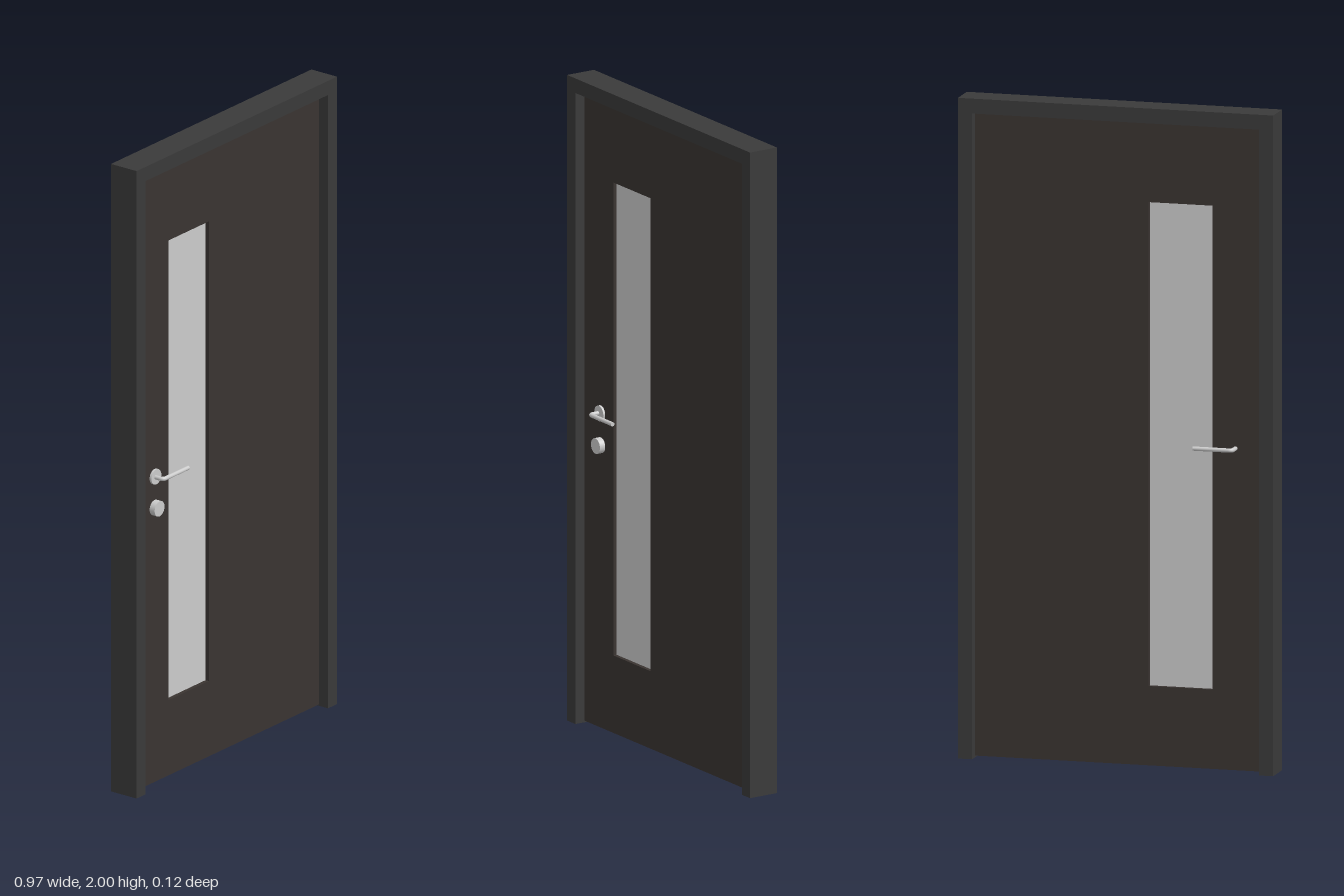
import * as THREE from 'three';

const MID = -0.004; // middle plane of the door in z

function mat(color) {
  return new THREE.MeshStandardMaterial({ color });
}

function polygon(points) {
  return points.map(([x, y]) => new THREE.Vector2(x, y));
}

// Flat outline extruded to a depth centred on the middle plane
function slab(name, shape, depth, material) {
  const geometry = new THREE.ExtrudeGeometry(shape, { depth, bevelEnabled: false });
  geometry.translate(0, 0, MID - depth / 2);
  const mesh = new THREE.Mesh(geometry, material);
  mesh.name = name;
  return mesh;
}

// Round plate or barrel facing the front
function disc(name, y, zBack, zFront, material) {
  const geometry = new THREE.CylinderGeometry(0.024, 0.024, zFront - zBack, 32);
  geometry.rotateX(Math.PI / 2);
  const mesh = new THREE.Mesh(geometry, material);
  mesh.name = name;
  mesh.position.set(-0.357, y, (zBack + zFront) / 2);
  return mesh;
}

// Lever with a stem, a rounded elbow and a straight grip; side is +1 front, -1 back
function lever(name, side, material) {
  const r = 0.0065, x = -0.361, y = 0.979, bend = 0.012;
  const zGrip = MID + side * 0.051;
  const p = (px, pz) => new THREE.Vector3(px, y, pz);
  const path = new THREE.CurvePath();
  path.add(new THREE.LineCurve3(p(x, MID + side * 0.01), p(x, zGrip - side * bend)));
  path.add(new THREE.QuadraticBezierCurve3(p(x, zGrip - side * bend), p(x, zGrip), p(x + bend, zGrip)));
  path.add(new THREE.LineCurve3(p(x + bend, zGrip), p(-0.24, zGrip)));
  const group = new THREE.Group();
  group.name = name;
  const bar = new THREE.Mesh(new THREE.TubeGeometry(path, 60, r, 16), material);
  bar.name = name + 'Bar';
  const cap = new THREE.Mesh(new THREE.CircleGeometry(r, 16), material);
  cap.name = name + 'EndCap';
  cap.rotation.y = Math.PI / 2;
  cap.position.set(-0.24, y, zGrip);
  group.add(bar, cap);
  return group;
}

export function createModel() {
  const model = new THREE.Group();
  model.name = 'door';
  const frameMat = mat(0x3a3a3a);
  const leafMat = mat(0x3a3431);
  const grey = mat(0xcccccc);

  // Frame: two jambs and a header, open at the floor
  const outer = 0.487, inner = 0.443, head = 1.955;
  const frame = new THREE.Shape(polygon([
    [-outer, 0], [-inner, 0], [-inner, head], [inner, head],
    [inner, 0], [outer, 0], [outer, 2], [-outer, 2],
  ]));
  model.add(slab('frame', frame, 0.096, frameMat));

  // Leaf with a tall window opening
  const [x0, x1, y0, y1] = [-0.29, -0.093, 0.245, 1.71];
  const leaf = new THREE.Shape(polygon([
    [-inner, 0.005], [inner, 0.005], [inner, head], [-inner, head],
  ]));
  leaf.holes.push(new THREE.Path(polygon([[x0, y0], [x0, y1], [x1, y1], [x1, y0]])));
  model.add(slab('leaf', leaf, 0.03, leafMat));

  // Window pane
  const pane = new THREE.Shape(polygon([[x0, y0], [x1, y0], [x1, y1], [x0, y1]]));
  model.add(slab('windowPane', pane, 0.006, grey));

  // Handles on both faces, rosette and lock on the front
  model.add(lever('frontHandle', 1, grey), lever('backHandle', -1, grey));
  model.add(disc('handleRosette', 0.979, 0.01, 0.018, grey));
  model.add(disc('lockCylinder', 0.88, 0.01, 0.03, grey));

  return model;
}
